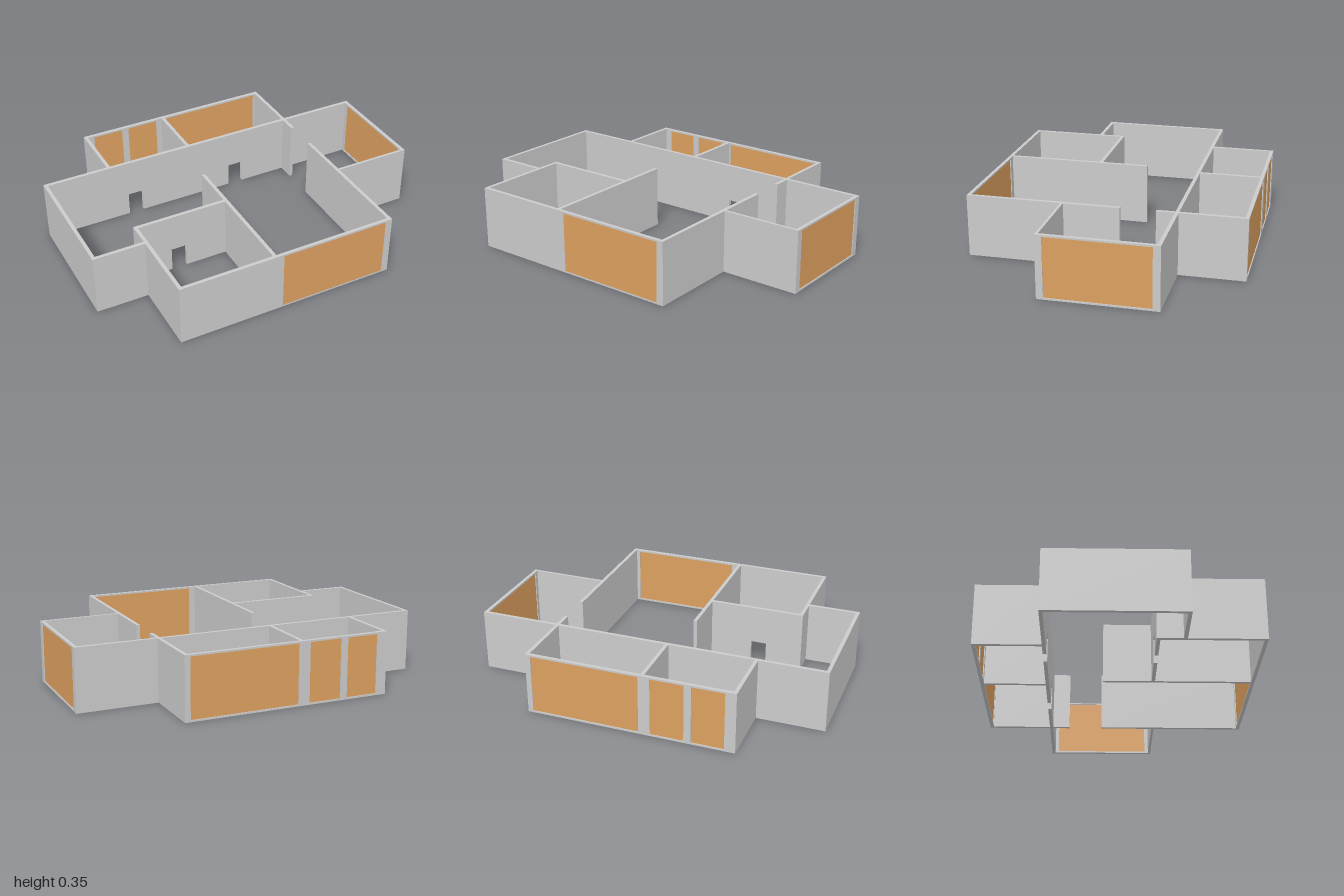
import * as THREE from 'three';

const H = 0.35;            // wall height
const T = 0.02;            // wall thickness
const SILL = 0.01, HEAD = 0.34, DOOR = 0.135;

export function createModel() {
  const model = new THREE.Group();
  const grey = new THREE.MeshStandardMaterial({ color: 0xcccccc });
  const wood = new THREE.MeshStandardMaterial({ color: 0xdda060 });

  // One straight wall: axis it runs along, centre on the other axis, start, end,
  // doors (cut to the floor) and windows (framed openings with a coloured panel)
  function wall(name, axis, at, a, b, { t = T, doors = [], windows = [], panelT = 0.01, shift = 0 } = {}) {
    const group = new THREE.Group();
    group.name = name;
    const shape = new THREE.Shape();
    shape.moveTo(a, 0);
    for (const [d0, d1] of doors) {
      shape.lineTo(d0, 0);
      shape.lineTo(d0, DOOR);
      shape.lineTo(d1, DOOR);
      shape.lineTo(d1, 0);
    }
    shape.lineTo(b, 0);
    shape.lineTo(b, H);
    shape.lineTo(a, H);
    shape.closePath();

    for (const [w0, w1] of windows) {
      const hole = new THREE.Path();
      hole.moveTo(w0, SILL);
      hole.lineTo(w0, HEAD);
      hole.lineTo(w1, HEAD);
      hole.lineTo(w1, SILL);
      hole.closePath();
      shape.holes.push(hole);
      const panel = new THREE.Mesh(new THREE.BoxGeometry(w1 - w0, HEAD - SILL, panelT), wood);
      panel.name = 'windowPanel';
      panel.position.set((w0 + w1) / 2, (SILL + HEAD) / 2, shift);
      group.add(panel);
    }

    const geometry = new THREE.ExtrudeGeometry(shape, { depth: t, bevelEnabled: false });
    geometry.translate(0, 0, -t / 2);
    const body = new THREE.Mesh(geometry, grey);
    body.name = name + 'Body';
    group.add(body);

    // Walls along z are turned so that their length follows +z
    if (axis === 'z') {
      group.rotation.y = -Math.PI / 2;
      group.position.x = at;
    } else {
      group.position.z = at;
    }
    model.add(group);
  }

  // Back rooms
  wall('backWall', 'x', -0.755, -0.62, 0.55, {
    windows: [[-0.56, -0.38], [-0.34, -0.155], [-0.09, 0.52]],
  });
  wall('backRightSideWall', 'z', -0.61, -0.765, -0.39);
  wall('backDivider', 'z', -0.11, -0.75, -0.39);
  wall('backLeftSideWall', 'z', 0.54, -0.765, -0.28);

  // Long wall across the whole house
  wall('longWall', 'x', -0.39, -1, 1, { doors: [[-0.505, -0.415], [0.155, 0.245]] });

  // Right wing
  wall('rightWingOuterWall', 'z', -0.99, -0.4, 0.35);
  wall('rightWingFrontWall', 'x', 0.34, -1, -0.69);

  // Front right room
  wall('frontRoomOuterWall', 'z', -0.698, 0.19, 0.765);
  wall('frontRoomBackWall', 'x', 0.2, -0.708, -0.15, { doors: [[-0.5, -0.41]] });
  wall('hallWall', 'z', -0.16, -0.08, 0.75);

  // Front wall, its panel flush with the outside
  wall('frontWall', 'x', 0.755, -0.708, 0.55, {
    windows: [[-0.112, 0.51]], panelT: 0.015, shift: 0.0024,
  });

  // Left wing
  wall('leftHallWall', 'z', 0.54, -0.085, 0.765);
  wall('leftWingFrontWall', 'x', 0.23, 0.54, 1, { t: 0.015 });
  wall('leftWingOuterWall', 'z', 0.99, -0.4, 0.2375, { windows: [[-0.36, 0.2]] });

  return model;
}
